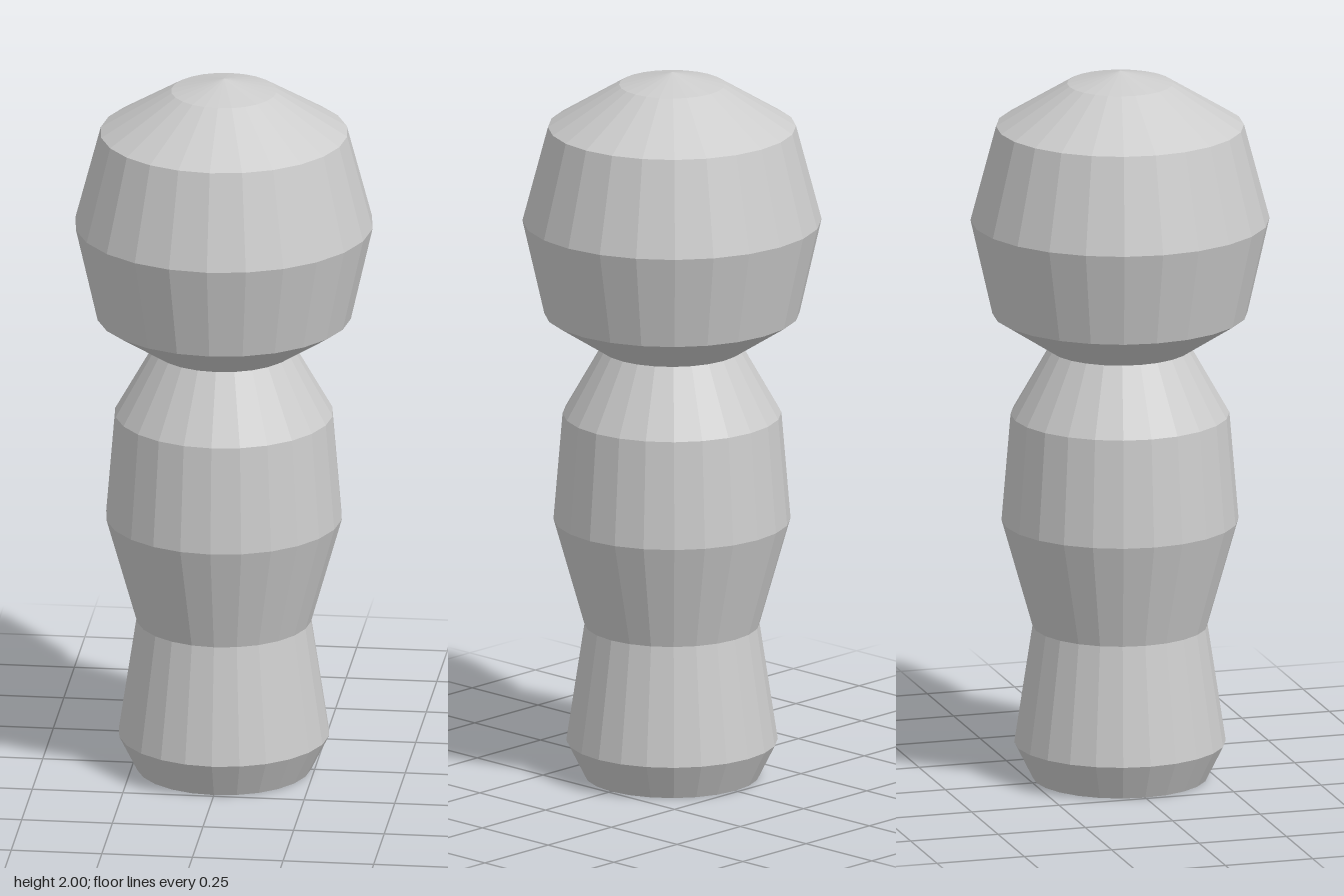
import * as THREE from 'three';

const SIDES = 24;

// Faceted turned part from [radius, height] pairs, listed bottom to top
function turned(name, profile, material) {
  const points = profile.map(([r, y]) => new THREE.Vector2(r, y));
  const mesh = new THREE.Mesh(new THREE.LatheGeometry(points, SIDES), material);
  mesh.name = name;
  return mesh;
}

export function createModel() {
  const group = new THREE.Group();
  group.name = 'pegFigure';
  const grey = new THREE.MeshStandardMaterial({ color: 0xcccccc });
  grey.name = 'light grey';
  grey.flatShading = true;

  // Closed base, waist, chest and shoulders up to the neck
  group.add(turned('body', [
    [0, 0], [0.24, 0], [0.29, 0.1], [0.24, 0.43],
    [0.325, 0.73], [0.3, 1.03], [0.195, 1.215],
  ], grey));

  // Wide head with a shallow pointed crown
  group.add(turned('head', [
    [0.195, 1.215], [0.35, 1.315], [0.41, 1.58],
    [0.34, 1.845], [0.145, 1.965], [0, 2],
  ], grey));

  return group;
}
